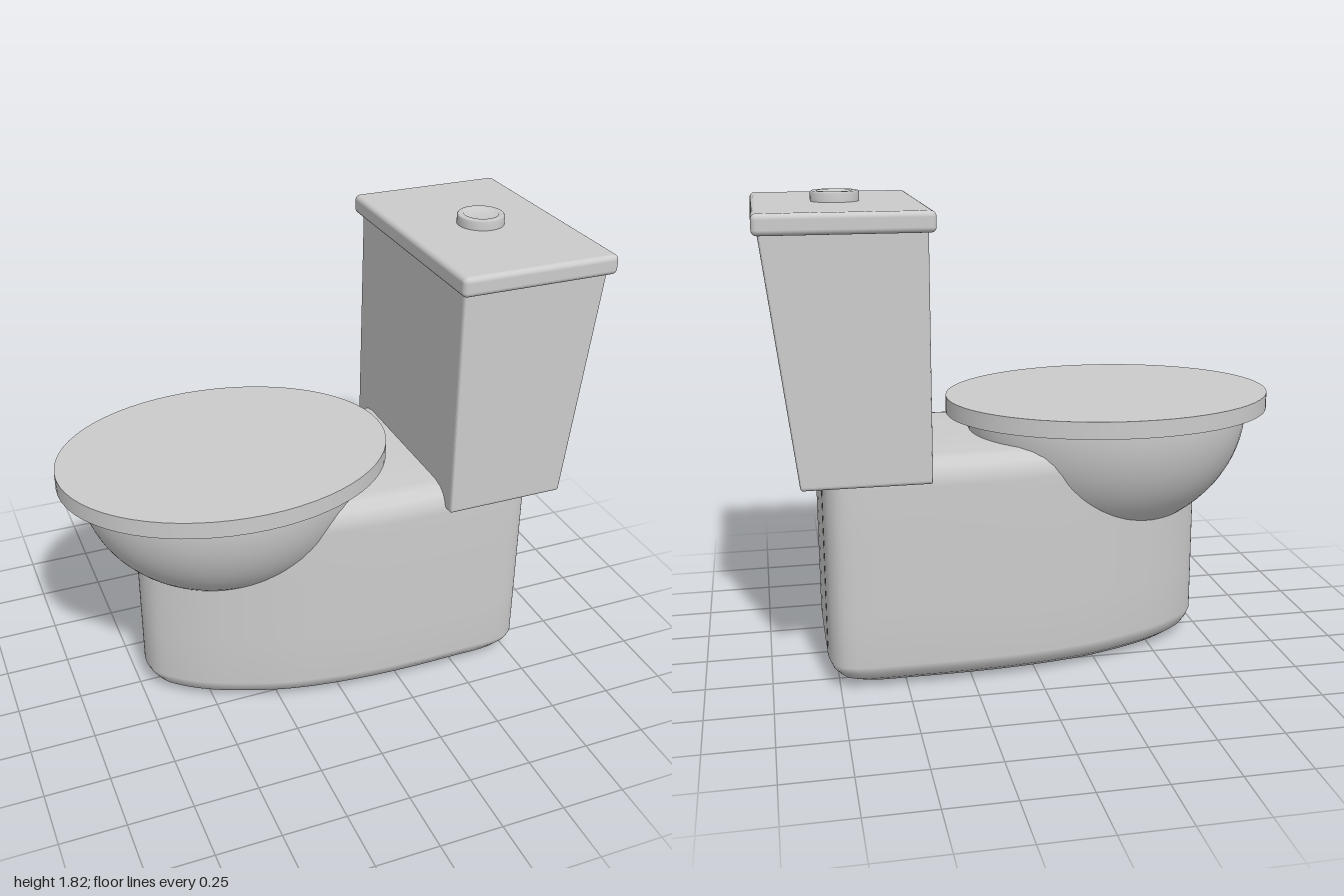
import * as THREE from 'three';
import { RoundedBoxGeometry } from 'three/addons/geometries/RoundedBoxGeometry.js';

const material = new THREE.MeshStandardMaterial({ color: 0xcccccc, roughness: 0.6 });

function part(group, name, geometry, x = 0, y = 0, z = 0) {
  const mesh = new THREE.Mesh(geometry, material);
  mesh.name = name;
  mesh.position.set(x, y, z);
  group.add(mesh);
  return mesh;
}

// Pedestal: tapering plan outline, stacked in rings with softened top and bottom
function pedestalGeometry() {
  const half = [[-0.7, 0.08], [-0.64, 0.145], [-0.53, 0.22], [-0.36, 0.295], [-0.2, 0.345], [0.05, 0.385],
    [0.3, 0.4], [0.5, 0.4], [0.69, 0.395], [0.745, 0.375], [0.775, 0.335], [0.787, 0.28], [0.79, 0.15]];
  const points = [
    new THREE.Vector3(-0.72, 0, 0),
    ...half.map(([x, z]) => new THREE.Vector3(x, 0, z)),
    ...half.map(([x, z]) => new THREE.Vector3(x, 0, -z)).reverse(),
  ];
  const n = 120, cx = 0.035, rx = 0.755, rz = 0.4;
  const outline = new THREE.CatmullRomCurve3(points, true, 'centripetal').getPoints(n).slice(0, n);

  // [height, inset from the outline]
  const rings = [[0, 0.4], [0, 0.13], [0.012, 0.08], [0.04, 0.035], [0.07, 0.012], [0.1, 0],
    [0.3, 0], [0.55, 0], [0.79, 0], [0.83, 0.007], [0.86, 0.025], [0.88, 0.055], [0.89, 0.1], [0.89, 0.4]];
  const positions = [], index = [];
  rings.forEach(([y, inset], i) => {
    const closed = inset >= rz;
    const sx = closed ? 0 : 1 - inset / rx, sz = closed ? 0 : 1 - inset / rz;
    outline.forEach((p, j) => {
      positions.push(cx + (p.x - cx) * sx, y, p.z * sz);
      if (i === rings.length - 1) return;
      const k = (j + 1) % n;
      const a = i * n + j, b = i * n + k, c = b + n, d = a + n;
      index.push(a, b, c, a, c, d);
    });
  });
  const geometry = new THREE.BufferGeometry();
  geometry.setAttribute('position', new THREE.Float32BufferAttribute(positions, 3));
  geometry.setIndex(index);
  geometry.computeVertexNormals();
  return geometry;
}

// Tank: rounded box whose back wall leans outwards towards the top
function tankGeometry() {
  const x0 = 0.4, y0 = 0.81, y1 = 1.73, bottomWidth = 0.47, topWidth = 0.58;
  const geometry = new RoundedBoxGeometry(1, y1 - y0, 0.885, 3, 0.015);
  const p = geometry.attributes.position;
  for (let i = 0; i < p.count; i++) {
    const t = p.getY(i) / (y1 - y0) + 0.5;
    const width = THREE.MathUtils.lerp(bottomWidth, topWidth, t);
    p.setXYZ(i, x0 + (p.getX(i) + 0.5) * width, y0 + t * (y1 - y0), p.getZ(i));
  }
  geometry.computeVertexNormals();
  return geometry;
}

export function createModel() {
  const group = new THREE.Group();
  group.name = 'toilet';

  part(group, 'pedestal', pedestalGeometry());

  // Bowl: lower half of an ellipsoid
  const bowl = new THREE.SphereGeometry(1, 64, 20, 0, Math.PI * 2, Math.PI / 2, Math.PI / 2);
  bowl.scale(0.56, 0.5, 0.45);
  part(group, 'bowl', bowl, -0.357, 0.957, 0);

  // Closed oval seat lid
  const seat = new THREE.CylinderGeometry(1, 1, 0.066, 64);
  seat.scale(0.643, 1, 0.5);
  part(group, 'seatLid', seat, -0.357, 0.988, 0);

  part(group, 'tank', tankGeometry());
  part(group, 'tankLid', new RoundedBoxGeometry(0.62, 0.075, 0.96, 4, 0.02), 0.687, 1.7475, 0);

  // Flush button with a shallow dished top
  const profile = [[0.09, 0], [0.09, 0.034], [0.085, 0.04], [0.066, 0.04], [0.062, 0.03], [0, 0.03]];
  const button = new THREE.LatheGeometry(profile.map(([r, y]) => new THREE.Vector2(r, y)), 40);
  part(group, 'flushButton', button, 0.69, 1.783, 0);

  return group;
}
